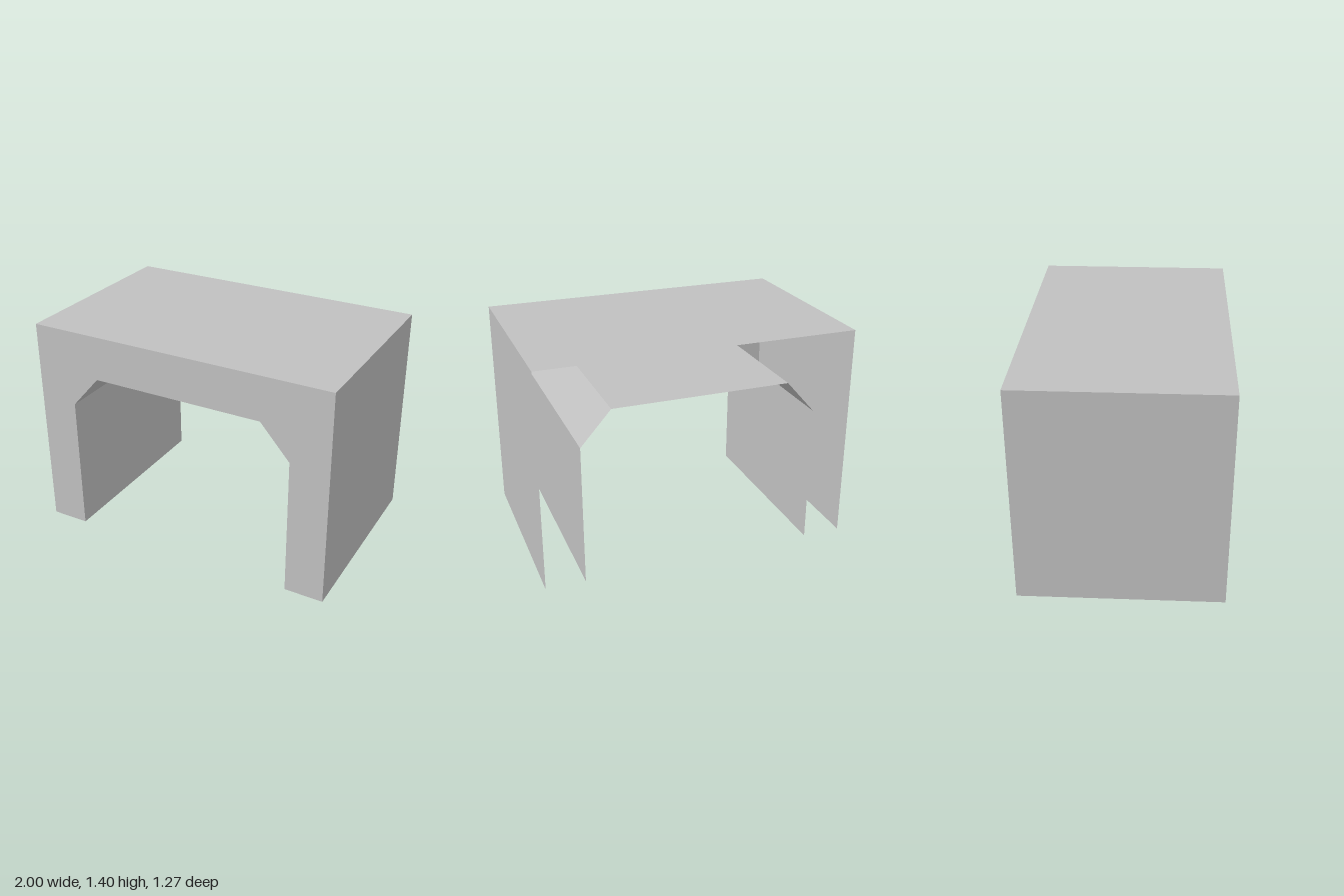
import * as THREE from 'three';

const HALF_DEPTH = 0.633;

// Open sheet: sweeps a line of [x, y] points from front to back with flat facets
function sheet(points) {
  const pos = [];
  for (let i = 0; i < points.length - 1; i++) {
    const [a, b] = [points[i], points[i + 1]];
    const af = [...a, HALF_DEPTH], ab = [...a, -HALF_DEPTH];
    const bf = [...b, HALF_DEPTH], bb = [...b, -HALF_DEPTH];
    pos.push(...af, ...ab, ...bb, ...af, ...bb, ...bf);
  }
  const geo = new THREE.BufferGeometry();
  geo.setAttribute('position', new THREE.Float32BufferAttribute(pos, 3));
  geo.computeVertexNormals();
  return geo;
}

export function createModel() {
  const group = new THREE.Group();
  group.name = 'fireplaceSurround';
  const grey = new THREE.MeshStandardMaterial({ color: 0xc0c0c0, side: THREE.DoubleSide });
  grey.name = 'light grey';

  const add = (name, geometry) => {
    const mesh = new THREE.Mesh(geometry, grey);
    mesh.name = name;
    group.add(mesh);
    return mesh;
  };

  // Outlines run over the arch, outer from +x to -x, inner from -x to +x
  const outer = [[1, 0], [1, 1.4], [-1, 1.4], [-1, 0]];
  const inner = [[-0.75, 0], [-0.75, 0.9], [-0.56, 1.115], [0.56, 1.115], [0.75, 0.9], [0.75, 0]];

  // Outer walls with roof, and the chamfered passage lining; back and bottom stay open
  add('outerShell', sheet(outer));
  add('passageLining', sheet(inner));

  // Flat front panel closing the gap between the two shells
  const outline = [...outer, ...inner].map(([x, y]) => new THREE.Vector2(x, y));
  const front = add('frontPanel', new THREE.ShapeGeometry(new THREE.Shape(outline)));
  front.position.z = HALF_DEPTH;

  return group;
}
